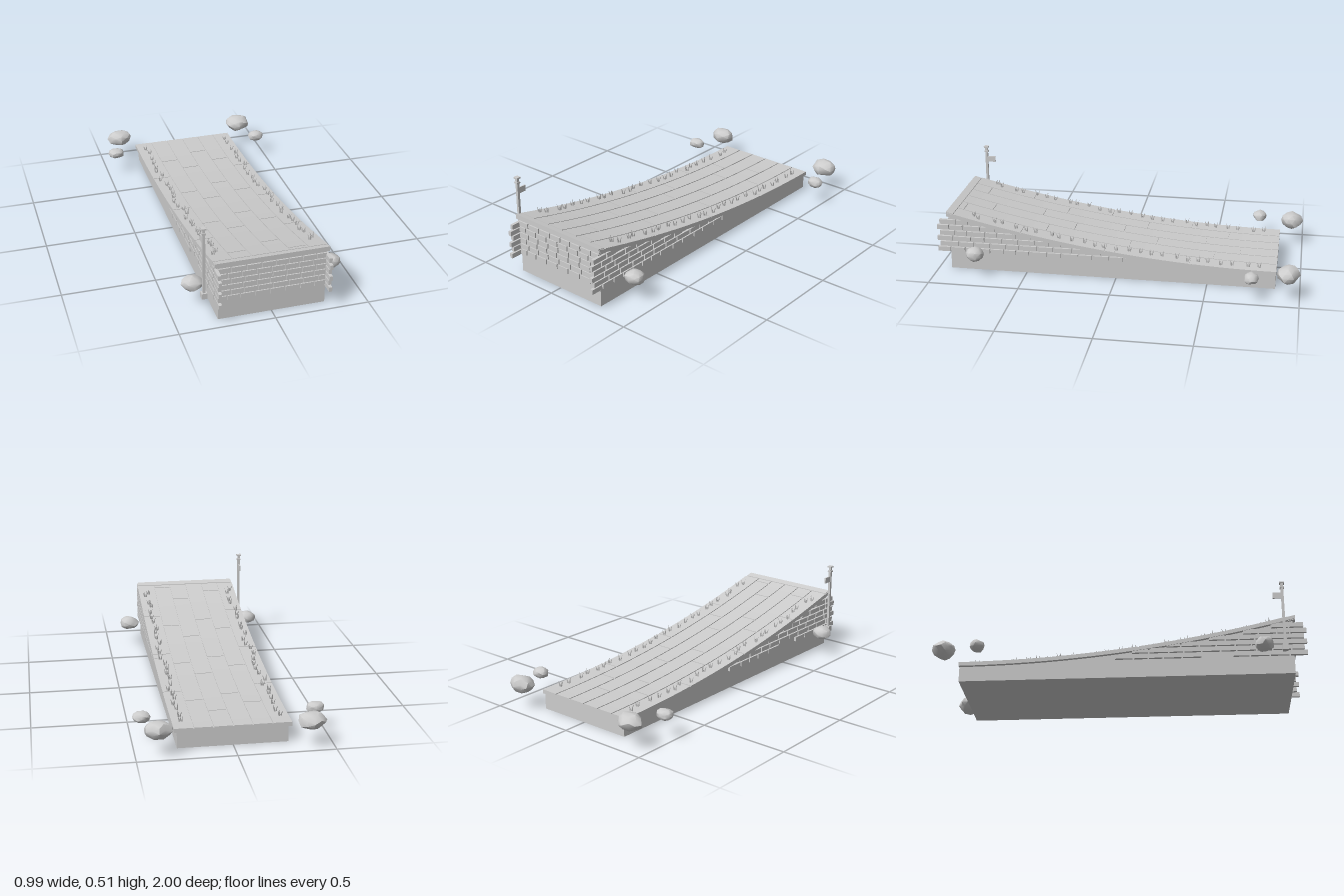
import * as THREE from 'three';
import { mergeVertices, toCreasedNormals } from 'three/addons/utils/BufferGeometryUtils.js';

// Height of the curved ramp surface at z
const rampY = (z) => 0.102 + 0.23 * ((z + 0.87) / 1.81) ** 2;

function seeded(seed) {
  let s = seed;
  return () => (s = (s * 16807) % 2147483647) / 2147483647;
}

export function createModel() {
  const model = new THREE.Group();
  const stone = new THREE.MeshStandardMaterial({ color: 0xcccccc });
  stone.name = 'pale grey';
  const rand = seeded(4711);

  const group = (name) => {
    const g = new THREE.Group();
    g.name = name;
    model.add(g);
    return g;
  };
  const add = (parent, name, geometry, x = 0, y = 0, z = 0) => {
    const mesh = new THREE.Mesh(geometry, stone);
    mesh.name = name;
    mesh.position.set(x, y, z);
    parent.add(mesh);
    return mesh;
  };
  const box = (parent, name, x0, x1, y0, y1, z0, z1) =>
    add(parent, name, new THREE.BoxGeometry(x1 - x0, y1 - y0, z1 - z0),
      (x0 + x1) / 2, (y0 + y1) / 2, (z0 + z1) / 2);

  // Slab whose upper and lower edges follow functions of z
  const slab = (parent, name, x0, x1, z0, z1, low, high) => {
    const n = Math.max(2, Math.ceil((z1 - z0) / 0.08));
    const pts = [];
    for (let i = 0; i <= n; i++) {
      const z = z0 + ((z1 - z0) * i) / n;
      pts.push(new THREE.Vector2(z, high(z)));
    }
    for (let i = n; i >= 0; i--) {
      const z = z0 + ((z1 - z0) * i) / n;
      pts.push(new THREE.Vector2(z, low(z)));
    }
    const geo = new THREE.ExtrudeGeometry(new THREE.Shape(pts), { depth: x1 - x0, bevelEnabled: false });
    geo.rotateY(-Math.PI / 2);
    return add(parent, name, geo, x1, 0, 0);
  };

  // Solid body and overhanging deck
  slab(model, 'rampBody', -0.282, 0.285, -0.868, 0.93, () => 0, (z) => rampY(z) - 0.01);
  slab(model, 'deck', -0.3, 0.3, -0.87, 0.94, (z) => rampY(z) - 0.018, rampY);

  // Staggered deck planks with narrow seams
  const planks = group('deckPlanks');
  for (let i = 0; i < 6; i++) {
    const x0 = -0.3 + i * 0.1;
    let z0 = -0.87;
    let z1 = -0.87 + [0.5, 0.28, 0.4, 0.2, 0.34, 0.46][i];
    while (z0 < 0.88) {
      slab(planks, 'plank', x0 + (i ? 0.003 : 0), x0 + (i < 5 ? 0.097 : 0.1), z0, z1,
        (z) => rampY(z) - 0.002, (z) => rampY(z) + 0.004);
      z0 = z1 + 0.006;
      z1 = Math.min(z0 + 0.46, 0.9);
    }
  }
  slab(model, 'frontLip', -0.295, 0.295, 0.906, 0.945, (z) => rampY(z) - 0.022, (z) => rampY(z) + 0.004);

  // Front brickwork
  const frontBricks = group('frontBricks');
  for (let row = 0; row < 6; row++) {
    const y = 0.108 + row * 0.0325;
    let x = -0.28;
    let w = row % 2 ? 0.06 : 0.042;
    while (x < 0.27) {
      const end = Math.min(x + w, 0.283);
      box(frontBricks, 'frontBrick', x, end, y, y + 0.028, 0.925, 0.938);
      x = end + 0.007;
      w = 0.06 + rand() * 0.016;
    }
  }

  // Side brickwork under the deck, toothed at the front
  const sideBricks = group('sideBricks');
  for (const side of [-1, 1]) {
    for (let row = 0; row < 6; row++) {
      const y = 0.103 + row * 0.0325;
      let z = row % 2 ? 0.985 : 1.0;
      while (z > -0.23) {
        const start = z - (0.06 + rand() * 0.04);
        const gap = row === 0 && z < 0.62 && (z > 0.52 || z < 0.02) && rand() < 0.6;
        if (y + 0.024 > rampY(start) + 0.004) break;
        if (!gap) {
          box(sideBricks, 'sideBrick', side < 0 ? -0.297 : 0.28, side < 0 ? -0.28 : 0.297,
            y, y + 0.026, start, z);
        }
        z = start - 0.008;
      }
    }
  }

  // Signpost beside the raised end
  const post = group('signpost');
  const px = -0.34;
  const pz = 0.88;
  for (const [name, half, y0, y1] of [
    ['postShaft', 0.007, 0.11, 0.51], ['postFoot', 0.015, 0.108, 0.14],
    ['postCollar', 0.011, 0.477, 0.486], ['postCap', 0.013, 0.505, 0.513],
  ]) box(post, name, px - half, px + half, y0, y1, pz - half, pz + half);
  box(post, 'signBoard', px - 0.004, px + 0.004, 0.417, 0.45, 0.828, 0.875);

  // Grass tufts of three leaning blades along both edges
  const grass = group('grassTufts');
  const tuftZ = [-0.78, -0.72, -0.63, -0.57, -0.5, -0.45, -0.39, -0.33, -0.25, -0.19, -0.13, -0.07, 0,
    0.07, 0.12, 0.18, 0.25, 0.32, 0.36, 0.45, 0.5, 0.56, 0.64, 0.68, 0.77, 0.8];
  const blade = new THREE.ConeGeometry(0.006, 0.036, 3);
  blade.translate(0, 0.018, 0);
  for (const side of [-1, 1]) {
    for (const z of tuftZ) {
      const tuft = new THREE.Group();
      tuft.name = 'grassTuft';
      tuft.position.set(side * (0.24 + rand() * 0.03), rampY(z), z);
      const turn = rand() * 6;
      for (let k = 0; k < 3; k++) {
        const a = turn + k * 2.1;
        const b = add(tuft, 'grassBlade', blade, Math.cos(a) * 0.004, 0, Math.sin(a) * 0.004);
        b.rotation.set(Math.sin(a) * 0.3, 0, -Math.cos(a) * 0.3);
      }
      grass.add(tuft);
    }
  }

  // Boulders at the four corners: [x, y, z, half width, half height, half depth]
  const rocks = group('boulders');
  for (const [x, y, z, rx, ry, rz] of [
    [-0.37, 0.132, 0.77, 0.062, 0.042, 0.054], [0.37, 0.132, 0.77, 0.062, 0.042, 0.054],
    [-0.385, 0.136, -0.935, 0.076, 0.051, 0.064], [0.385, 0.136, -0.935, 0.08, 0.051, 0.064],
    [-0.447, 0.128, -0.745, 0.053, 0.033, 0.043], [0.447, 0.128, -0.745, 0.051, 0.033, 0.043],
  ]) {
    let geo = new THREE.IcosahedronGeometry(1, 1);
    geo.deleteAttribute('normal');
    geo.deleteAttribute('uv');
    geo = mergeVertices(geo);
    const p = geo.attributes.position;
    for (let i = 0; i < p.count; i++) {
      const k = 0.84 + rand() * 0.18;
      p.setXYZ(i, p.getX(i) * k * rx, p.getY(i) * k * ry, p.getZ(i) * k * rz);
    }
    add(rocks, 'boulder', toCreasedNormals(geo, 0.7), x, y, z);
  }

  return model;
}
